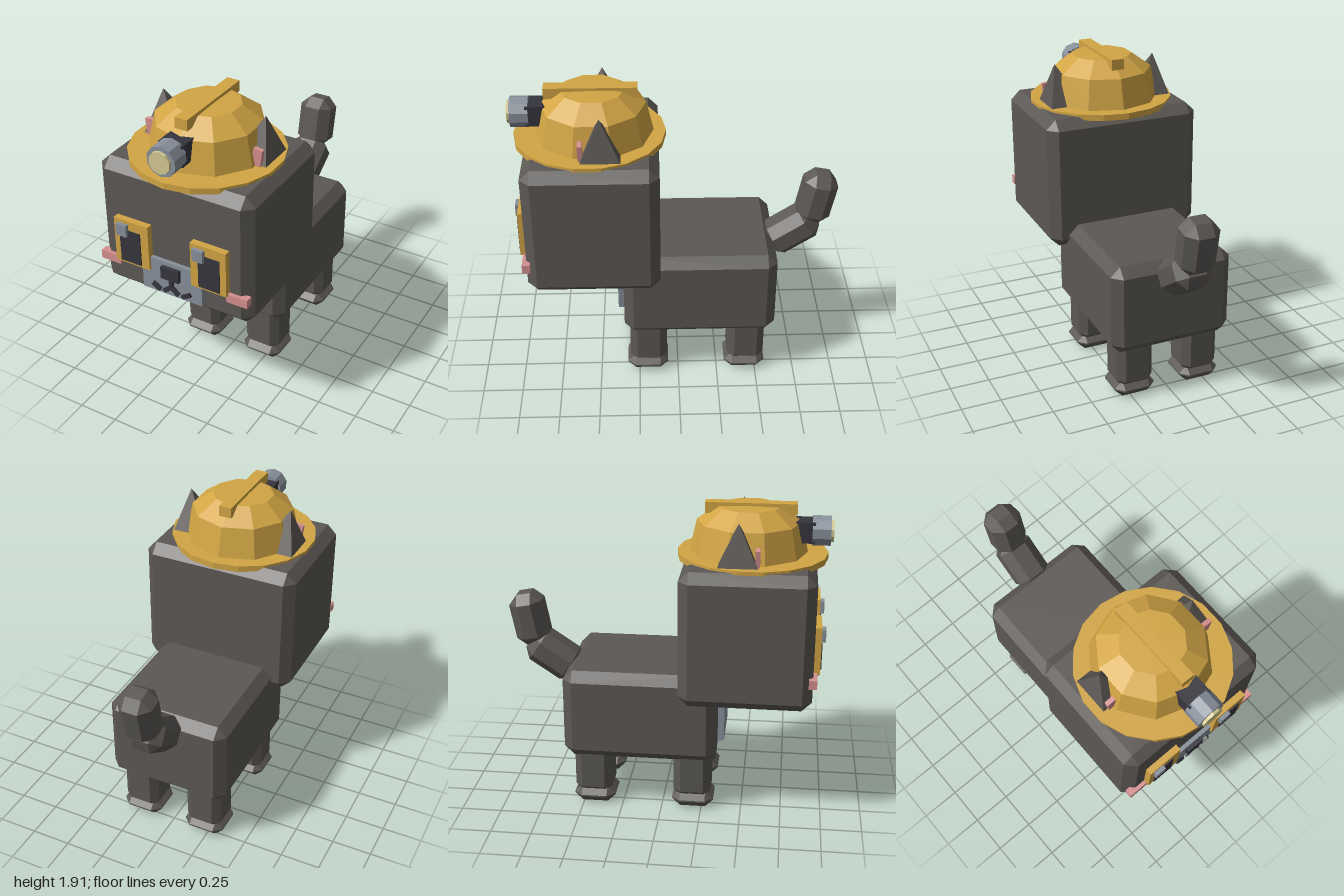
import * as THREE from 'three';
import { ConvexGeometry } from 'three/addons/geometries/ConvexGeometry.js';

const mat = (name, color) => {
  const m = new THREE.MeshStandardMaterial({ color, flatShading: true });
  m.name = name;
  return m;
};

export function createModel() {
  const fur = mat('fur grey', 0x5c5854);
  const gold = mat('gold', 0xd2a544);
  const grey = mat('pale grey', 0x88909b);
  const dark = mat('dark', 0x35353d);
  const pink = mat('pink', 0xd69090);
  const glass = mat('lamp glass', 0xd4cb92);

  const model = new THREE.Group();
  const add = (name, geometry, material, x = 0, y = 0, z = 0) => {
    const mesh = new THREE.Mesh(geometry, material);
    mesh.name = name;
    mesh.position.set(x, y, z);
    model.add(mesh);
    return mesh;
  };

  // Box with bevelled edges and corners
  const bevelBox = (w, h, d, c) => {
    const points = [];
    for (const sx of [-1, 1]) for (const sy of [-1, 1]) for (const sz of [-1, 1]) {
      for (let axis = 0; axis < 3; axis++) {
        const half = [w / 2, h / 2, d / 2].map((v, i) => (i === axis ? v : v - c));
        points.push(new THREE.Vector3(sx * half[0], sy * half[1], sz * half[2]));
      }
    }
    return new ConvexGeometry(points);
  };
  // Plain box from its limits on each axis
  const block = (name, material, [x0, x1], [y0, y1], [z0, z1]) =>
    add(name, new THREE.BoxGeometry(x1 - x0, y1 - y0, z1 - z0), material,
      (x0 + x1) / 2, (y0 + y1) / 2, (z0 + z1) / 2);

  // Body and head
  add('body', bevelBox(0.78, 0.57, 0.95, 0.06), fur, 0, 0.625, -0.135);
  add('head', bevelBox(1, 0.84, 0.8, 0.06), fur, 0, 1.18, 0.51);
  block('bib', grey, [-0.18, 0.18], [0.41, 0.84], [0.3, 0.38]);

  // Legs and paws
  for (const x of [-0.22, 0.22]) for (const z of [0.19, -0.435]) {
    add('leg', bevelBox(0.235, 0.36, 0.235, 0.045), fur, x, 0.25, z);
    add('paw', bevelBox(0.26, 0.11, 0.26, 0.05), fur, x, 0.055, z + 0.005);
  }

  // Two-part tail
  add('tailBase', bevelBox(0.23, 0.35, 0.22, 0.06), fur, 0, 0.887, -0.724).rotation.x = -0.977;
  add('tailTip', bevelBox(0.22, 0.34, 0.21, 0.06), fur, 0, 1.128, -0.872).rotation.x = -0.19;

  // Eyes, with the glint on the same side of both
  for (const s of [-1, 1]) {
    const x = s * 0.255;
    block('eye', gold, [x - 0.115, x + 0.115], [0.97, 1.262], [0.89, 0.95]);
    const px = s * 0.262;
    block('pupil', dark, [px - 0.069, px + 0.069], [0.985, 1.2], [0.94, 0.957]);
    const gx = s < 0 ? -0.308 : 0.2;
    block('eyeGlint', grey, [gx - 0.035, gx + 0.035], [1.165, 1.24], [0.94, 0.975]);
    block('cheek', pink, [s * 0.425 - 0.068, s * 0.425 + 0.068], [0.925, 0.98], [0.885, 0.933]);
  }

  // Muzzle, nose and mouth
  block('muzzle', grey, [-0.2, 0.2], [0.83, 1.055], [0.88, 0.935]);
  block('nose', dark, [-0.06, 0.06], [0.952, 1.03], [0.92, 0.96]);
  block('mouthStem', dark, [-0.013, 0.013], [0.89, 0.955], [0.92, 0.95]);
  for (const s of [-1, 1]) {
    const bar = new THREE.BoxGeometry(0.062, 0.026, 0.03);
    add('mouthInner', bar, dark, s * 0.026, 0.876, 0.937).rotation.z = -s * 0.7;
    add('mouthOuter', bar, dark, s * 0.1, 0.871, 0.937).rotation.z = s * 0.55;
  }

  // Ears: leaning pyramids with a pink pad in front
  for (const s of [-1, 1]) {
    const corners = [[0.16, 1.59, 0.325], [0.405, 1.6, 0.325], [0.16, 1.59, 0.57],
      [0.405, 1.6, 0.57], [0.335, 1.865, 0.448]];
    const points = corners.map(([x, y, z]) => new THREE.Vector3(s * x, y, z));
    add('ear', new ConvexGeometry(points), fur);
    add('innerEar', new THREE.BoxGeometry(0.055, 0.13, 0.028), pink, s * 0.348, 1.655, 0.562)
      .rotation.z = -s * 0.12;
  }

  // Helmet: brim, faceted dome and ridge
  add('helmetBrim', new THREE.CylinderGeometry(0.455, 0.455, 0.038, 18), gold, 0, 1.596, 0.52);
  const profile = [[0.36, 1.6], [0.315, 1.8], [0.19, 1.89], [0, 1.895]]
    .map(([r, y]) => new THREE.Vector2(r, y));
  add('helmetDome', new THREE.LatheGeometry(profile, 10), gold, 0, 0, 0.495);
  block('helmetRidge', gold, [-0.04, 0.04], [1.845, 1.912], [0.23, 0.78]);

  // Headlamp
  block('lampMount', dark, [-0.075, 0.075], [1.685, 1.812], [0.76, 0.89]);
  add('lampHousing', new THREE.CylinderGeometry(0.093, 0.093, 0.11, 10), grey, 0, 1.748, 0.927)
    .rotation.x = Math.PI / 2;
  add('lampLens', new THREE.CylinderGeometry(0.068, 0.068, 0.05, 10), glass, 0, 1.748, 0.975)
    .rotation.x = Math.PI / 2;

  return model;
}
